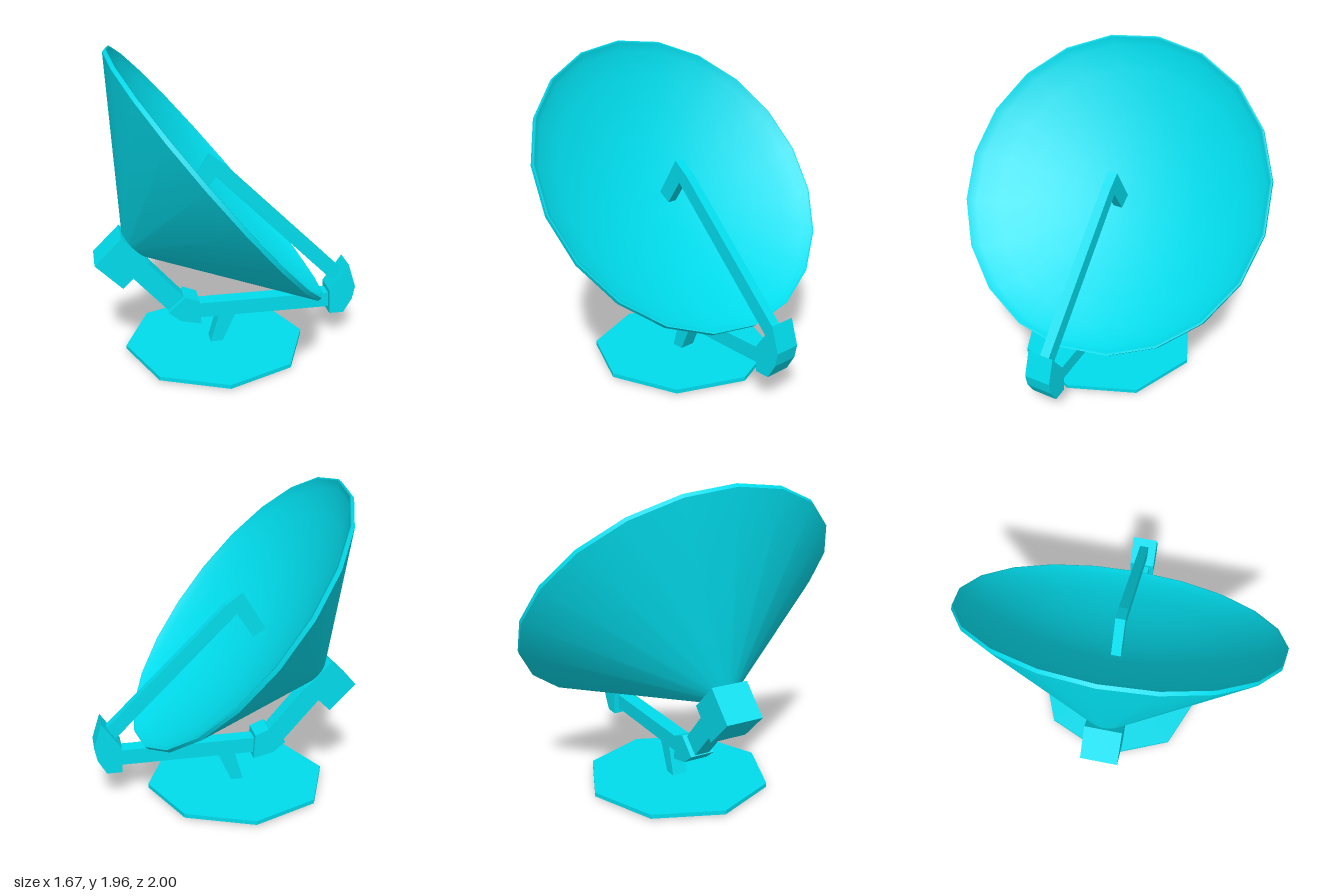
import * as THREE from 'three';

const material = new THREE.MeshStandardMaterial({ color: 0x00dcec, flatShading: true });
const smooth = new THREE.MeshStandardMaterial({ color: 0x00dcec });

export function createModel() {
  const model = new THREE.Group();

  function add(name, geometry, x = 0, y = 0, z = 0, mat = material, parent = model) {
    const mesh = new THREE.Mesh(geometry, mat);
    mesh.name = name;
    mesh.position.set(x, y, z);
    parent.add(mesh);
    return mesh;
  }

  // Side outline in x/y, extruded symmetrically about z = 0
  function slab(name, outline, width) {
    const shape = new THREE.Shape(outline.map(([x, y]) => new THREE.Vector2(x, y)));
    const geometry = new THREE.ExtrudeGeometry(shape, { depth: width, bevelEnabled: false });
    return add(name, geometry.translate(0, 0, -width / 2));
  }

  // Base plate with a small hexagonal nub underneath
  add('basePlate', new THREE.CylinderGeometry(0.58, 0.58, 0.026, 8), -0.08, 0.023, 0);
  add('baseNub', new THREE.CylinderGeometry(0.06, 0.05, 0.03, 6), -0.08, 0.015, 0);

  // Leaning post and the horizontal boom
  slab('post', [[-0.12, 0.02], [-0.045, 0.02], [0.05, 0.23], [-0.06, 0.23]], 0.1);
  slab('boom', [[-0.25, 0.22], [0.7, 0.22], [0.7, 0.32], [-0.25, 0.32]], 0.1);

  // Rear elbow, strut and mounting block
  slab('rearElbow', [[-0.39, 0.285], [-0.31, 0.22], [-0.18, 0.19], [-0.19, 0.35], [-0.28, 0.385]], 0.16);
  slab('rearStrut', [[-0.67, 0.61], [-0.355, 0.255], [-0.26, 0.345], [-0.57, 0.7]], 0.1);
  const block = add('mountBlock', new THREE.BoxGeometry(0.235, 0.235, 0.235), -0.67, 0.667, 0);
  block.rotation.z = Math.PI / 4;

  // Front knuckle and the bent feed arm
  slab('frontKnuckle', [[0.67, 0.185], [0.765, 0.185], [0.82, 0.28], [0.837, 0.365], [0.787, 0.525], [0.665, 0.35]], 0.165);
  slab('feedArm', [[-0.11, 1.3], [-0.26, 1.06], [-0.18, 1.01], [-0.075, 1.165], [0.7, 0.395], [0.765, 0.46], [-0.01, 1.225]], 0.06);

  // Dish: conical back, narrow rim and shallow curved bowl with a steeper lip,
  // each turned about the tilted axis
  const dish = new THREE.Group();
  dish.name = 'dish';
  dish.position.set(-0.062, 1.193, 0);
  dish.rotation.z = -0.877;
  model.add(dish);
  const bowl = [[1, 0], [0.985, 0]];
  for (const s of [1, 0.85, 0.7, 0.55, 0.4, 0.25, 0.12, 0]) bowl.push([0.95 * s, -0.045 - 0.235 * (1 - s * s)]);
  const profiles = {
    dishBack: [[0, -0.69], [0.105, -0.69], [1, -0.025]],
    dishRim: [[1, -0.025], [1, 0]],
    dishBowl: bowl,
  };
  for (const [name, points] of Object.entries(profiles)) {
    const profile = points.map(([r, t]) => new THREE.Vector2(r, t));
    add(name, new THREE.LatheGeometry(profile, 20), 0, 0, 0, smooth, dish);
  }

  return model;
}
